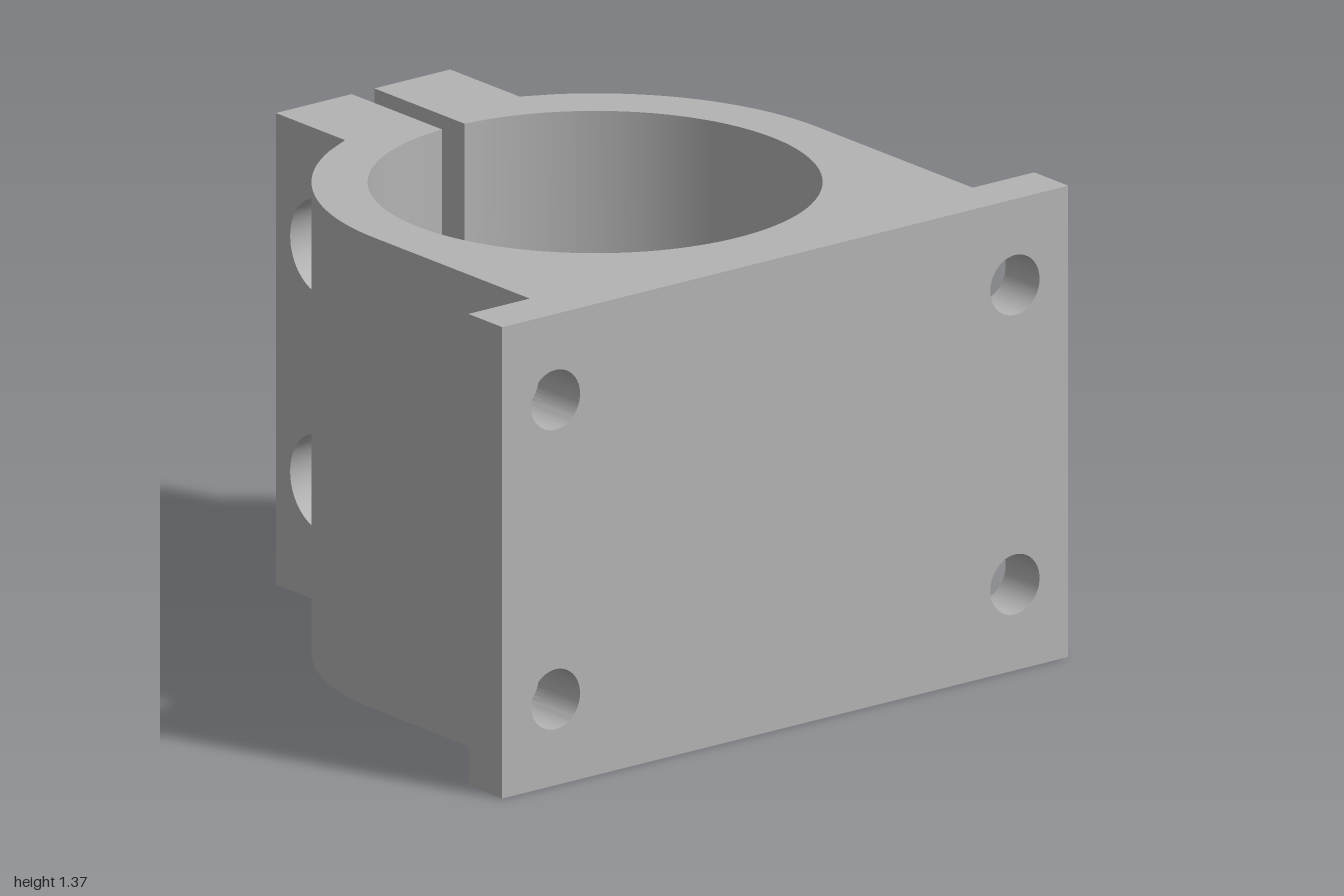
import * as THREE from 'three';
import { toCreasedNormals } from 'three/addons/utils/BufferGeometryUtils.js';

const H = 1.37;            // height
const BACK = 0.933;        // half depth
const R = 0.783;           // outer radius of the ring
const BORE = 0.628;        // bore radius
const CZ = 0.093;          // z of the bore axis
const GAP = 0.04;          // half width of the slot
const EAR = 0.308;         // outer x of the clamp ears
const JOIN = 0.58;         // ears meet the ring at z = -JOIN
const BOLT = { u: 0.73, ys: [0.345, 1.03], r: 0.07 };
const MOUNT = { x: 0.812, ys: [0.25, 1.12], r: 0.087 };

const ringX = (z) => Math.sqrt(R * R - (z - CZ) ** 2);

function rect(x0, y0, x1, y1) {
  return new THREE.Shape([[x0, y0], [x1, y0], [x1, y1], [x0, y1]].map((p) => new THREE.Vector2(...p)));
}

// Regular polygon hole with a corner pointing up
function polyHole(x, y, r, sides) {
  const pts = [];
  for (let i = 0; i < sides; i++) {
    const a = Math.PI / 2 + (i / sides) * Math.PI * 2;
    pts.push(new THREE.Vector2(x + r * Math.cos(a), y + r * Math.sin(a)));
  }
  return new THREE.Path(pts);
}

function extrude(shape, depth) {
  return new THREE.ExtrudeGeometry(shape, { depth, bevelEnabled: false, curveSegments: 64 });
}

export function createModel() {
  const group = new THREE.Group();
  const grey = new THREE.MeshStandardMaterial({ color: 0xb3b3b3 });
  grey.name = 'plain grey';

  function add(name, geometry) {
    const mesh = new THREE.Mesh(toCreasedNormals(geometry, 0.5), grey);
    mesh.name = name;
    group.add(mesh);
  }

  // Mounting plate with four through holes
  const plate = rect(-1, 0, 1, H);
  for (const x of [-MOUNT.x, MOUNT.x]) {
    for (const y of MOUNT.ys) plate.holes.push(polyHole(x, y, MOUNT.r, 48));
  }
  add('mountingPlate', extrude(plate, BACK - 0.783).translate(0, 0, 0.783));

  // Thin body layer behind the plate, bitten by the mounting holes
  const a = Math.acos((MOUNT.x - R) / MOUNT.r);
  const layer = new THREE.Shape();
  layer.moveTo(-R, 0);
  layer.lineTo(R, 0);
  for (const y of MOUNT.ys) layer.absarc(MOUNT.x, y, MOUNT.r, Math.PI + a, Math.PI - a, true);
  layer.lineTo(R, H);
  layer.lineTo(-R, H);
  for (const y of [...MOUNT.ys].reverse()) layer.absarc(-MOUNT.x, y, MOUNT.r, a, -a, true);
  layer.closePath();
  add('bodyFrontLayer', extrude(layer, 0.033).translate(0, 0, 0.75));

  // Main body: straight sides, round back, split bore
  const end = Math.asin((JOIN + CZ) / R);
  const slot = Math.acos(GAP / BORE);
  const body = new THREE.Shape();
  body.moveTo(-R, -0.75);
  body.lineTo(R, -0.75);
  body.absarc(0, -CZ, R, 0, end, false);
  body.lineTo(GAP, JOIN);
  body.absarc(0, -CZ, BORE, slot, Math.PI - slot - Math.PI * 2, true);
  body.lineTo(-GAP, JOIN);
  body.absarc(0, -CZ, R, Math.PI - end, Math.PI, false);
  body.closePath();
  add('clampBody', extrude(body, H).rotateX(-Math.PI / 2));

  // Slab cut in the z-y plane, reaching from x0 to x1
  const alongX = (shape, x0, x1) => extrude(shape, x1 - x0).rotateY(Math.PI / 2).translate(x0, 0, 0);

  // Recess edges where they run into the ring, as (u = -z, y offset)
  const rootU = Math.sqrt(R * R - EAR * EAR) - CZ;
  const hexR = 0.133, hexFlat = hexR * Math.cos(Math.PI / 6), headR = 0.14;
  const hexY = hexR - (BOLT.u - rootU) * Math.tan(Math.PI / 6);
  const hexBite = [[rootU, -hexY], [BOLT.u - hexFlat, -hexR / 2], [BOLT.u - hexFlat, hexR / 2], [rootU, hexY]];
  const headBite = [];
  const half = Math.acos((BOLT.u - rootU) / headR);
  for (let i = 0; i <= 16; i++) {
    const t = half * (i / 8 - 1);
    headBite.push([BOLT.u - headR * Math.cos(t), headR * Math.sin(t)]);
  }

  const ears = [
    { side: 1, name: 'nutEar', r: hexR, sides: 6, bite: hexBite },
    { side: -1, name: 'boltHeadEar', r: headR, sides: 48, bite: headBite },
  ];
  for (const { side, name, r, sides, bite } of ears) {
    const place = (shape, p, q) => alongX(shape, Math.min(side * p, side * q), Math.max(side * p, side * q));
    const floor = 0.2;

    // Inner half of the ear with plain bolt holes, outer half with recesses
    const inner = rect(JOIN, 0, BACK, H);
    const outer = rect(JOIN, 0, BACK, H);
    for (const y of BOLT.ys) {
      inner.holes.push(polyHole(BOLT.u, y, BOLT.r, 40));
      outer.holes.push(polyHole(BOLT.u, y, r, sides));
    }
    add(name + 'Inner', place(inner, GAP, floor));
    add(name + 'Outer', place(outer, floor, EAR));

    // Wedge between ear and ring, bitten by the recesses and bent to the ring surface
    const pts = [[JOIN, 0], [rootU, 0]];
    for (const y of BOLT.ys) pts.push(...bite.map(([u, v]) => [u, y + v]));
    pts.push([rootU, H], [JOIN, H]);
    const wedge = place(new THREE.Shape(pts.map((p) => new THREE.Vector2(...p))), EAR, 0.4);
    const pos = wedge.attributes.position;
    for (let i = 0; i < pos.count; i++) {
      if (Math.abs(pos.getX(i)) > 0.35) pos.setX(i, side * ringX(pos.getZ(i)));
    }
    wedge.computeVertexNormals();
    add(name + 'Root', wedge);
  }
  return group;
}
